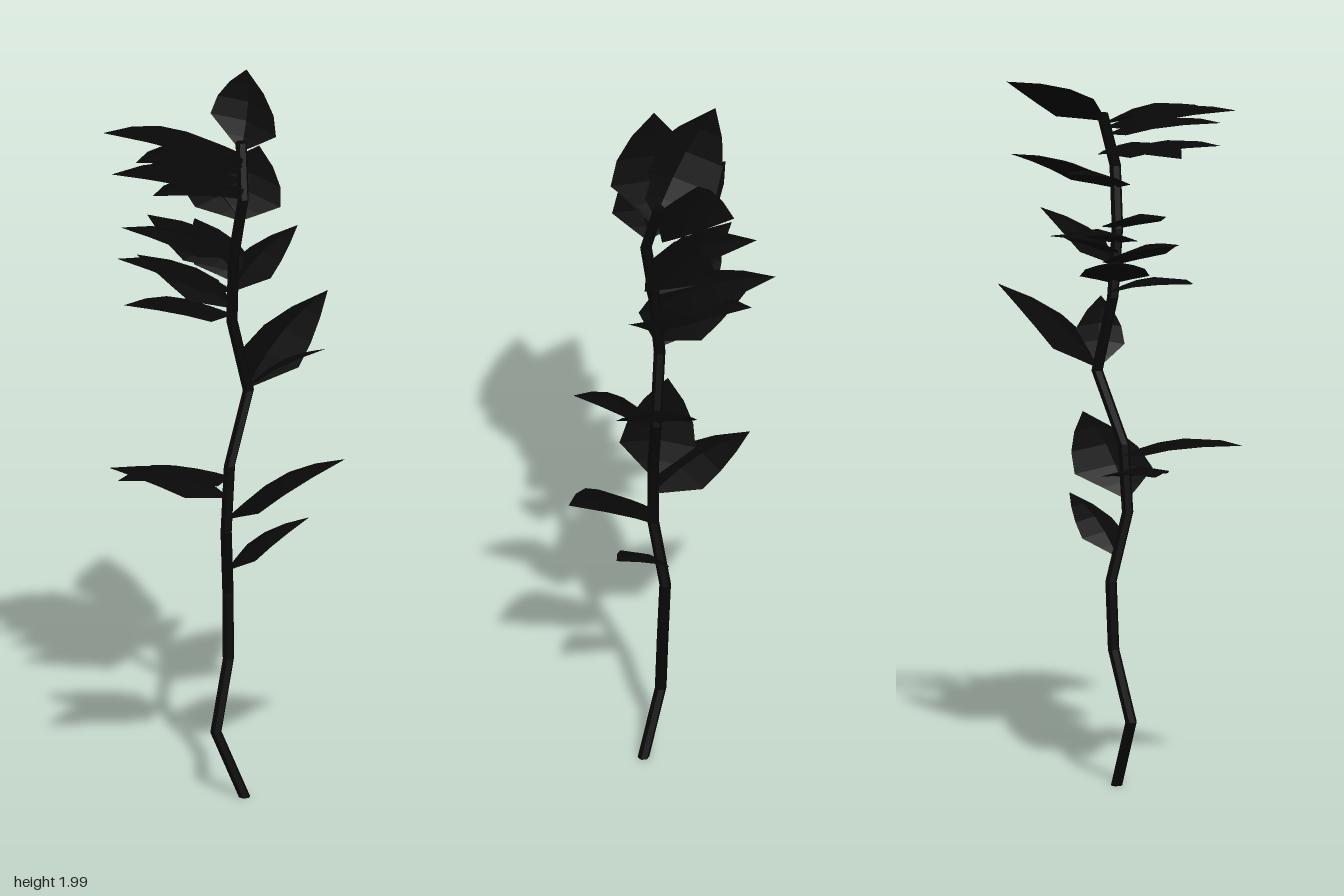
import * as THREE from 'three';

const dark = new THREE.MeshStandardMaterial({ color: 0x080808, flatShading: true, side: THREE.DoubleSide });

// Crooked stem: centre of each ring from the ground up
const STEM = [
  [0.05, 0.01, 0.02], [-0.025, 0.2, 0.043], [0, 0.4, 0], [-0.003, 0.59, -0.008],
  [0.003, 0.78, 0.04], [0.01, 0.97, 0.03], [0.048, 1.17, -0.035], [0.01, 1.38, 0],
  [0.018, 1.57, 0.015], [0.045, 1.74, 0.015], [0.03, 1.89, -0.025],
];

// Leaves: height on the stem, tip position, roll about the midrib, width factor
const LEAVES = [
  [0.66, [0.21, 0.8, -0.075], 0, 0.85],
  [0.82, [0.325, 1.0, -0.01], 0, 1],
  [0.88, [-0.325, 0.94, 0.04], 0, 0.9],
  [0.94, [-0.24, 1.0, 0.305], 0, 0.9],
  [1.18, [0.28, 1.33, 0.03], 0, 0.8],
  [1.18, [0.215, 1.39, -0.275], 0, 1],
  [1.4, [-0.255, 1.46, 0.165], 0, 1],
  [1.42, [-0.27, 1.53, -0.055], 0, 1],
  [1.47, [0.155, 1.61, -0.17], 0, 1],
  [1.47, [-0.285, 1.575, 0.115], 0, 1],
  [1.5, [-0.145, 1.59, -0.215], 0, 0.9],
  [1.53, [-0.265, 1.61, -0.16], 0, 0.9],
  [1.57, [-0.285, 1.65, 0.07], 0, 0.9],
  [1.68, [0.02, 1.79, -0.285], 0.3, 1],
  [1.68, [-0.195, 1.77, -0.17], 0, 0.9],
  [1.77, [-0.15, 1.82, 0.265], 0, 1],
  [1.79, [-0.3, 1.82, 0.12], 0, 1],
  [1.83, [-0.18, 1.89, 0.26], 0, 0.9],
  [1.85, [-0.19, 1.925, 0.3], 0, 1],
  [1.86, [-0.31, 1.96, 0.18], 0, 1],
  [1.87, [-0.02, 2.0, -0.305], 0.45, 1],
];

// Centre of the stem at a given height
function stemAt(y) {
  let i = 1;
  while (i < STEM.length - 1 && STEM[i][1] < y) i++;
  const a = new THREE.Vector3(...STEM[i - 1]), b = new THREE.Vector3(...STEM[i]);
  return a.lerp(b, (y - a.y) / (b.y - a.y));
}

// A six-sided cylinder whose rings are moved onto the stem line
function stemGeometry() {
  const rows = STEM.length - 1;
  const geo = new THREE.CylinderGeometry(0.016, 0.016, rows, 6, rows);
  const p = geo.attributes.position;
  for (let i = 0; i < p.count; i++) {
    const [x, y, z] = STEM[Math.round(p.getY(i) + rows / 2)];
    p.setXYZ(i, p.getX(i) + x, y, p.getZ(i) + z);
  }
  geo.computeVertexNormals();
  return geo;
}

// Along the leaf: fraction of length, half width over length
const OUTLINE = [[0, 0.02], [0.13, 0.15], [0.3, 0.31], [0.52, 0.265], [0.75, 0.16], [1, 0]];

// An arched blade, folded down a little on both sides of its midrib
function leafGeometry(base, tip, roll, width) {
  const rows = OUTLINE.length - 1;
  const geo = new THREE.PlaneGeometry(2, rows, 2, rows);
  const dir = tip.clone().sub(base), length = dir.length();
  dir.normalize();
  const side = new THREE.Vector3(0, 1, 0).cross(dir).normalize().negate().applyAxisAngle(dir, roll);
  const up = side.clone().cross(dir).normalize();
  const p = geo.attributes.position, v = new THREE.Vector3();
  for (let i = 0; i < p.count; i++) {
    const [t, w] = OUTLINE[Math.round(p.getY(i) + rows / 2)];
    const s = Math.round(p.getX(i)), half = w * width * length;
    v.lerpVectors(base, tip, t)
      .addScaledVector(side, s * half)
      .addScaledVector(up, 0.085 * length * Math.sin(Math.PI * t) - Math.abs(s) * half * 0.2);
    p.setXYZ(i, v.x, v.y, v.z);
  }
  geo.computeVertexNormals();
  return geo;
}

export function createModel() {
  const plant = new THREE.Group();
  plant.name = 'plant';

  const stem = new THREE.Mesh(stemGeometry(), dark);
  stem.name = 'stem';
  plant.add(stem);

  const leaves = new THREE.Group();
  leaves.name = 'leaves';
  LEAVES.forEach(([y, tip, roll, width], i) => {
    const leaf = new THREE.Mesh(leafGeometry(stemAt(y), new THREE.Vector3(...tip), roll, width), dark);
    leaf.name = `leaf${i + 1}`;
    leaves.add(leaf);
  });
  plant.add(leaves);
  return plant;
}
